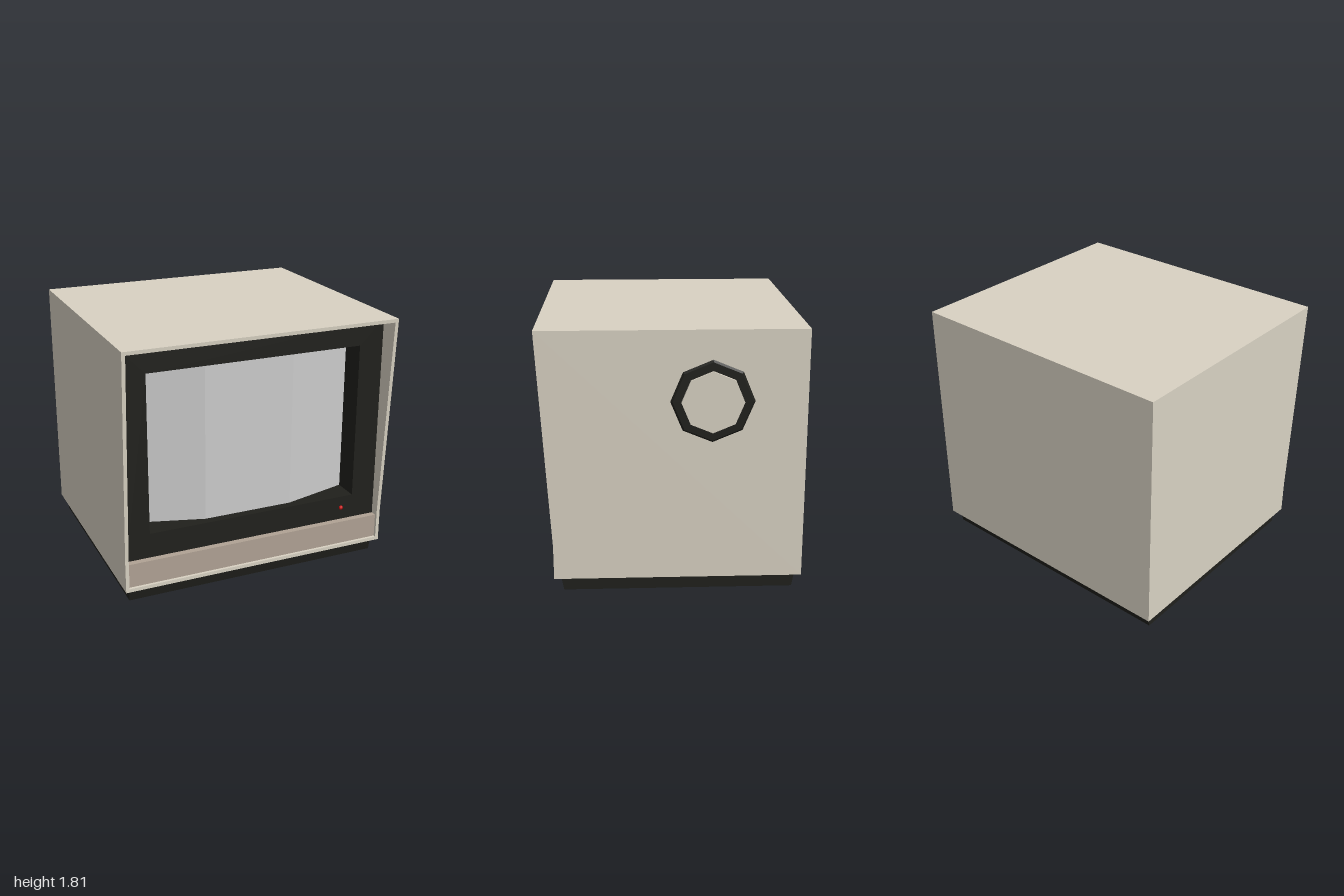
import * as THREE from 'three';

const paint = (color) => new THREE.MeshStandardMaterial({ color, flatShading: true });
const MAT = {
  shell: paint(0xd9d2c3),
  dark: paint(0x20201c),
  tan: paint(0xb0a294),
  screen: paint(0xcccccc),
  red: paint(0xcc1111),
};

const shapeOf = (pts) => new THREE.Shape(pts.map(([a, b]) => new THREE.Vector2(a, b)));
const extrude = (shape, depth) => new THREE.ExtrudeGeometry(shape, { depth, bevelEnabled: false });

// Side profile of [z, y] points, extruded from x0 to x1
const extrudeX = (pts, x0, x1) =>
  extrude(shapeOf(pts), x1 - x0).rotateY(-Math.PI / 2).translate(x1, 0, 0);

// Plan outline of [x, z] points, extruded from y0 to y1
const extrudeY = (pts, y0, y1) =>
  extrude(shapeOf(pts), y1 - y0).rotateX(Math.PI / 2).translate(0, y1, 0);

const rect = (x0, y0, x1, y1) => [[x0, y0], [x1, y0], [x1, y1], [x0, y1]];

export function createModel() {
  const model = new THREE.Group();
  const add = (name, geometry, material) => {
    const mesh = new THREE.Mesh(geometry, material);
    mesh.name = name;
    model.add(mesh);
    return mesh;
  };

  const L = -1, R = 0.965, T = 0.025; // cabinet sides and wall thickness

  // Cabinet: two side walls with a raked front edge, joined by top, back and bottom
  const side = [[-0.88, 0.1], [0.8, 0.1], [0.8, 0.34], [0.88, 1.81], [-0.88, 1.81]];
  add('rightWall', extrudeX(side, L, L + T), MAT.shell);
  add('leftWall', extrudeX(side, R - T, R), MAT.shell);
  const wrap = [
    [-0.88, 0.1], [0.8, 0.1], [0.8, 0.125], [-0.85, 0.125],
    [-0.85, 1.785], [0.8786, 1.785], [0.88, 1.81], [-0.88, 1.81],
  ];
  add('topBackBottom', extrudeX(wrap, L + T, R - T), MAT.shell);

  // Recessed dark surround with the screen opening
  const surround = shapeOf(rect(L + T, 0.28, R - T, 1.785));
  surround.holes.push(new THREE.Path(
    rect(-0.8, 0.475, 0.76, 1.605).reverse().map(([x, y]) => new THREE.Vector2(x, y))));
  add('screenSurround', extrude(surround, 0.235).translate(0, 0, 0.5), MAT.dark);

  // Faceted picture tube
  const tube = [[-0.81, 0.5], [0.77, 0.5], [0.77, 0.547], [0.28, 0.675], [-0.37, 0.675], [-0.81, 0.547]];
  add('screen', extrudeY(tube, 0.465, 1.615), MAT.screen);

  // Lower control strip
  add('lowerPanel', extrudeX([[0.55, 0.125], [0.78, 0.125], [0.78, 0.297], [0.55, 0.297]], L + T, R - T), MAT.tan);

  // Power light
  const light = add('powerLight', new THREE.SphereGeometry(0.016, 8, 6), MAT.red);
  light.position.set(0.67, 0.388, 0.737);

  // Plinth, narrowing toward the ground
  add('plinth', extrudeX([[-0.822, 0], [0.737, 0], [0.757, 0.102], [-0.84, 0.102]], -0.96, 0.925), MAT.dark);

  // Eight-sided side dial: dark bevelled collar with a pale cap
  const disc = (name, rOuter, rInner, x0, x1, material) => {
    const geometry = new THREE.CylinderGeometry(rOuter, rInner, x1 - x0, 8).rotateZ(-Math.PI / 2);
    add(name, geometry, material).position.set((x0 + x1) / 2, 1.34, -0.26);
  };
  disc('dialCollar', 0.262, 0.28, 0.96, 0.98, MAT.dark);
  disc('dialCap', 0.205, 0.205, 0.96, 1.0, MAT.shell);

  return model;
}
